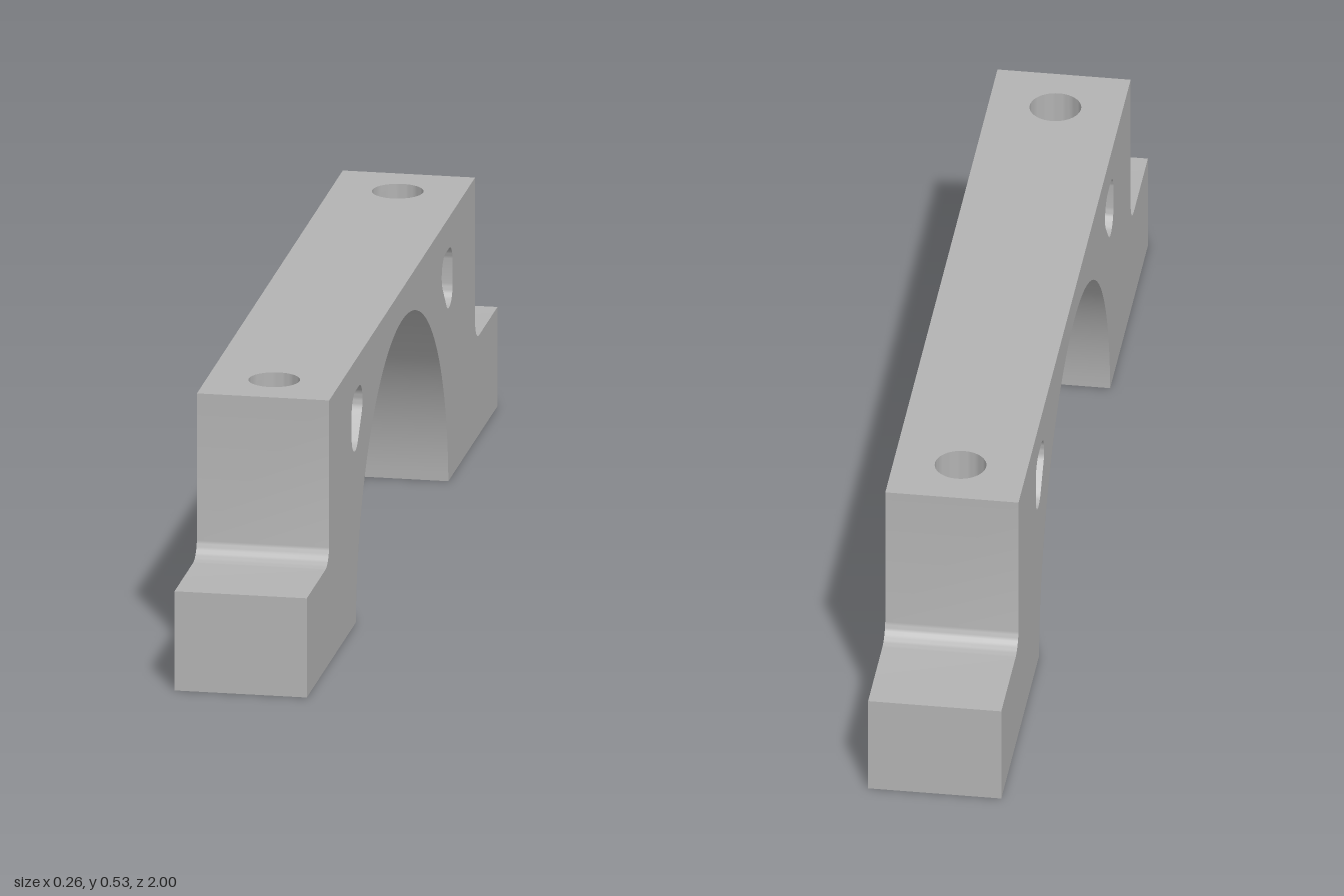
import * as THREE from 'three';
import { toCreasedNormals } from 'three/addons/utils/BufferGeometryUtils.js';

const H = 0.13;        // half the thickness along x
const TOP = 0.53;      // height of the block
const BLOCK = 0.765;   // half length of the raised block
const ARCH = 0.485;    // arch radius
const FOOT = 0.2;      // foot height
const FILLET = 0.04;
const BOLT = { z: 0.647, r: 0.05, wide: 0.08, depth: 0.25 };
const PIN = { z: 0.865, r: 0.06, depth: 0.13 };

const v2 = (x, y) => new THREE.Vector2(x, y);
const mirror = (pts) => pts.map((p) => v2(-p.x, p.y)).reverse();

function arc(cx, cy, r, from, to, n) {
  const pts = [];
  for (let i = 0; i <= n; i++) {
    const a = THREE.MathUtils.degToRad(from + ((to - from) * i) / n);
    pts.push(v2(cx + r * Math.cos(a), cy + r * Math.sin(a)));
  }
  return pts;
}

// Wall swept across the thickness along a (z, y) path; faces right of the path
function wall(path) {
  const pos = [];
  for (let i = 0; i < path.length - 1; i++) {
    const p = path[i], q = path[i + 1];
    const a = [-H, p.y, p.x], b = [H, p.y, p.x], c = [H, q.y, q.x], d = [-H, q.y, q.x];
    pos.push(...a, ...b, ...c, ...a, ...c, ...d);
  }
  const g = new THREE.BufferGeometry();
  g.setAttribute('position', new THREE.Float32BufferAttribute(pos, 3));
  return toCreasedNormals(g, 0.6);
}

// Horizontal rectangle between two z positions, with round holes [z, r]
function plate(z0, z1, holes) {
  const s = new THREE.Shape([v2(-H, z0), v2(H, z0), v2(H, z1), v2(-H, z1)]);
  for (const [z, r] of holes) s.holes.push(new THREE.Path(arc(0, z, r, 0, 360, 48).slice(0, -1)));
  return new THREE.ShapeGeometry(s);
}

export function createModel() {
  const group = new THREE.Group();
  const steel = new THREE.MeshStandardMaterial({ color: 0xb2b2b2 });
  steel.name = 'grey metal';
  const add = (name, geometry) => {
    const mesh = new THREE.Mesh(geometry, steel);
    mesh.name = name;
    group.add(mesh);
    return mesh;
  };

  // Side profile: arch, stepped end with fillet, mirrored end
  const drop = 0.018;
  const dip = THREE.MathUtils.radToDeg(Math.asin(drop / ARCH));
  const arch = arc(0, -drop, ARCH, 180 - dip, dip, 72);
  const end = [
    v2(1, 0), v2(1, FOOT),
    ...arc(BLOCK + FILLET, FOOT + FILLET, FILLET, 270, 180, 10),
    v2(BLOCK, TOP),
  ];
  const otherEnd = mirror(end);

  // Rounded triangular windows beside the arch
  const r = 0.038;
  const slot = [
    ...arc(0.492, 0.43, r, 0, 90, 10),
    ...arc(0.453, 0.43, r, 90, 221.5, 14),
    ...arc(0.492, 0.386, r, 221.5, 360, 14),
  ];
  const slots = [slot, mirror(slot)];

  // Side faces
  const profile = new THREE.Shape([...arch, ...end, ...otherEnd]);
  for (const s of slots) profile.holes.push(new THREE.Path(s));
  for (const side of [1, -1]) {
    const face = new THREE.ShapeGeometry(profile);
    face.rotateY((side * Math.PI) / 2).translate(side * H, 0, 0);
    add(side > 0 ? 'leftFace' : 'rightFace', face);
  }

  // Arch, stepped ends and window linings
  add('archWall', wall(arch));
  add('frontEnd', wall(end));
  add('backEnd', wall(otherEnd));
  for (const s of slots) {
    const loop = [...s].reverse();
    add('windowLining', wall([...loop, loop[0]]));
  }

  // Top face with bolt holes
  const top = plate(-BLOCK, BLOCK, [[-BOLT.z, BOLT.r], [BOLT.z, BOLT.r]]);
  add('topFace', top.rotateX(-Math.PI / 2).translate(0, TOP, 0));

  // Soles of the feet, counterbored bolt holes and blind pin holes
  const inner = arch[arch.length - 1].x;
  for (const side of [1, -1]) {
    const [z0, z1] = side > 0 ? [inner, 1] : [-1, -inner];
    const sole = plate(z0, z1, [[side * BOLT.z, BOLT.wide], [side * PIN.z, PIN.r]]);
    add('footSole', sole.rotateX(Math.PI / 2));

    const bolt = new THREE.LatheGeometry([
      v2(BOLT.r, TOP), v2(BOLT.r, BOLT.depth), v2(BOLT.wide, BOLT.depth), v2(BOLT.wide, 0),
    ], 48);
    add('boltHole', toCreasedNormals(bolt, 0.6)).position.z = side * BOLT.z;

    const pin = new THREE.LatheGeometry([
      v2(0, PIN.depth), v2(PIN.r, PIN.depth), v2(PIN.r, 0),
    ], 48);
    add('pinHole', toCreasedNormals(pin, 0.6)).position.z = side * PIN.z;
  }
  return group;
}
